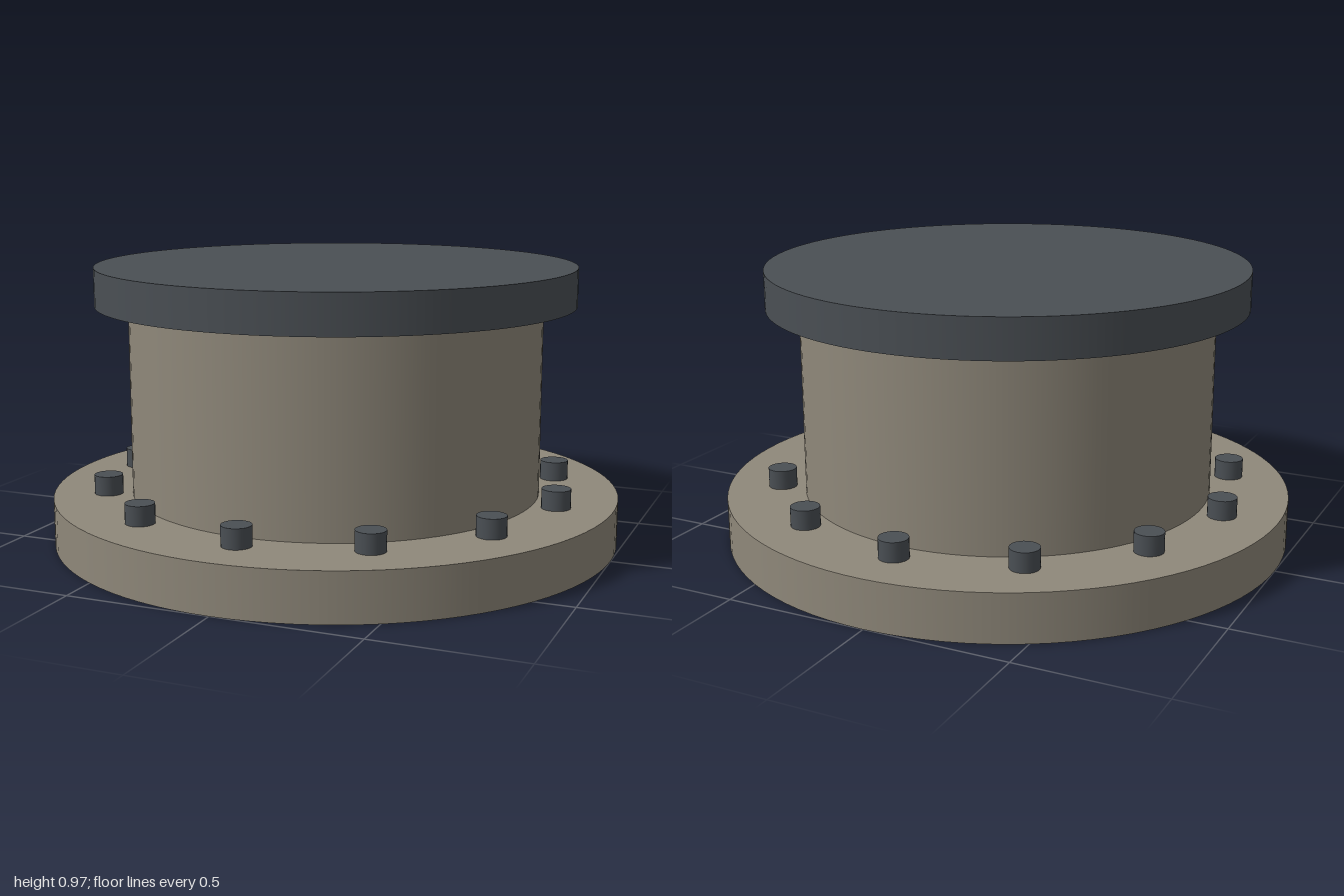
import * as THREE from 'three';

export function createModel() {
  const group = new THREE.Group();
  const stone = new THREE.MeshStandardMaterial({ color: 0x8f887a });
  const dark = new THREE.MeshStandardMaterial({ color: 0x4a4f54 });

  // Upright cylinder spanning y0..y1
  function disc(name, radius, y0, y1, material, sides = 96) {
    const mesh = new THREE.Mesh(new THREE.CylinderGeometry(radius, radius, y1 - y0, sides), material);
    mesh.position.y = (y0 + y1) / 2;
    mesh.name = name;
    group.add(mesh);
    return mesh;
  }

  disc('baseFlange', 1, 0, 0.167, stone);
  disc('body', 0.725, 0.167, 0.833, stone);
  disc('lid', 0.84, 0.833, 0.967, dark);

  // Ring of twelve bolts on the flange
  const bolts = 12, ringRadius = 0.808;
  for (let i = 0; i < bolts; i++) {
    const a = (i / bolts) * Math.PI * 2;
    const bolt = disc('bolt' + (i + 1), 0.05, 0.16, 0.235, dark, 24);
    bolt.position.x = Math.cos(a) * ringRadius;
    bolt.position.z = Math.sin(a) * ringRadius;
  }
  return group;
}
